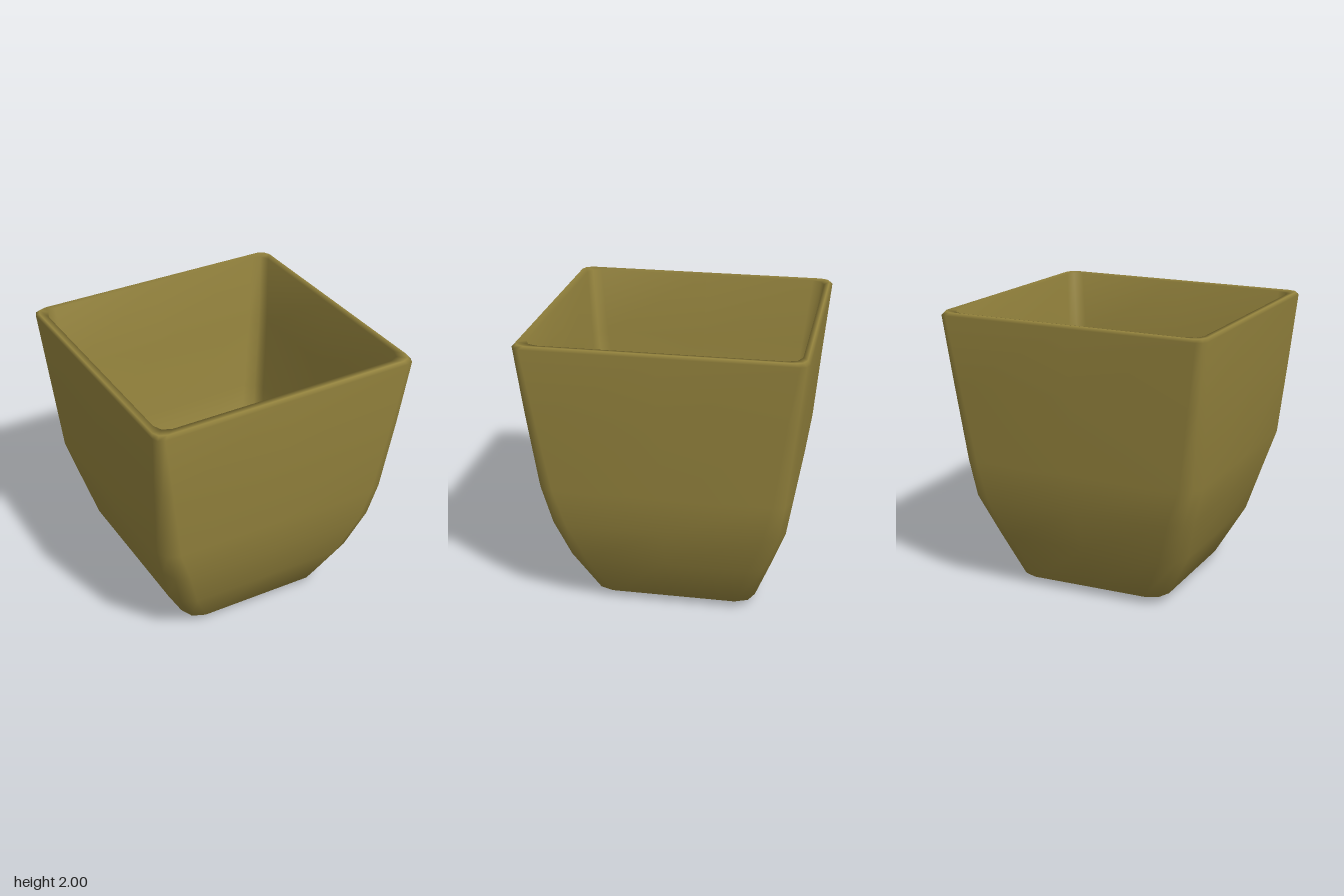
import * as THREE from 'three';
import { toCreasedNormals } from 'three/addons/utils/BufferGeometryUtils.js';

// Underside arches gently from front to back
const archY = (z) => 0.045 * (1 - Math.min(1, (z / 0.42) ** 2));

// Rounded rectangle outline as [x, z] points: soft corners plus side midpoints
function outline(x0, x1, z0, z1, c) {
  const corners = [[x1 - c, z1 - c], [x0 + c, z1 - c], [x0 + c, z0 + c], [x1 - c, z0 + c]];
  const mids = [[(x0 + x1) / 2, z1], [x0, (z0 + z1) / 2], [(x0 + x1) / 2, z0], [x1, (z0 + z1) / 2]];
  const pts = [];
  corners.forEach(([x, z], q) => {
    for (let k = 0; k <= 2; k++) {
      const a = (q + k / 2) * Math.PI / 2;
      pts.push([x + c * Math.cos(a), z + c * Math.sin(a)]);
    }
    pts.push(mids[q]);
  });
  return pts;
}

const FLOOR = [-0.47, 0.5, -0.52, 0.46, 0.08];
const FLOOR_Y = 0.15;
const FOOT_SCALE = 0.88;

// Wall surface lofted through rings: up the outside, over the rim, down the inside
function wallGeometry() {
  const sections = [
    [0.055, -0.53, 0.585, -0.595, 0.54, 0.13],
    [0.38, -0.71, 0.725, -0.715, 0.715, 0.15],
    [0.68, -0.795, 0.835, -0.82, 0.805, 0.14],
    [0.95, -0.875, 0.865, -0.86, 0.865, 0.12],
    [1.5, -0.92, 0.915, -0.91, 0.92, 0.09],
    [1.965, -0.955, 0.95, -0.955, 0.96, 0.06],
    [1.987, -0.94, 0.935, -0.935, 0.94, 0.07],
    [1.98, -0.895, 0.89, -0.9, 0.885, 0.09],
    [1.5, -0.86, 0.855, -0.85, 0.85, 0.1],
    [0.95, -0.81, 0.8, -0.8, 0.8, 0.11],
    [0.68, -0.735, 0.765, -0.755, 0.74, 0.12],
    [0.38, -0.63, 0.65, -0.645, 0.63, 0.12],
    [FLOOR_Y, ...FLOOR],
  ];
  const rings = sections.map(([y, ...r]) =>
    outline(...r).map(([x, z]) => [x, y + 0.012 * x * (y / 2) ** 3, z]));
  rings.unshift(outline(...FLOOR.map((v) => v * FOOT_SCALE)).map(([x, z]) => [x, archY(z), z]));

  const n = rings[0].length;
  const index = [];
  for (let i = 0; i < rings.length - 1; i++) {
    for (let j = 0; j < n; j++) {
      const a = i * n + j, b = i * n + (j + 1) % n;
      index.push(a, a + n, b, b, a + n, b + n);
    }
  }
  const geo = new THREE.BufferGeometry();
  geo.setAttribute('position', new THREE.Float32BufferAttribute(rings.flat(2), 3));
  geo.setIndex(index);
  geo.computeVertexNormals();
  return geo;
}

// Drain holes: centre, radii, and how far each flares at the top
const HOLES = [
  { x: -0.31, z: -0.01, rx: 0.035, rz: 0.065, fx: 1.6, fz: 2.4 },
  { x: 0.385, z: -0.015, rx: 0.055, rz: 0.06, fx: 1.2, fz: 2 },
  { x: 0.03, z: 0.335, rx: 0.055, rz: 0.045, fx: 2.5, fz: 1.6 },
];

// Dished floor slab pierced by the holes
function floorGeometry() {
  const shape = new THREE.Shape(outline(...FLOOR).map(([x, z]) => new THREE.Vector2(x, z)));
  for (const h of HOLES) {
    const pts = [];
    for (let k = 0; k < 5; k++) {
      const a = 0.3 + k * Math.PI * 2 / 5;
      pts.push(new THREE.Vector2(h.x + h.rx * Math.cos(a), h.z + h.rz * Math.sin(a)));
    }
    shape.holes.push(new THREE.Path(pts));
  }
  const geo = new THREE.ExtrudeGeometry(shape, { depth: 1, bevelEnabled: false });
  geo.rotateX(Math.PI / 2);
  const p = geo.attributes.position;
  for (let i = 0; i < p.count; i++) {
    let x = p.getX(i), z = p.getZ(i), y;
    const top = p.getY(i) > -0.5;
    const hole = HOLES.find((h) => Math.hypot(x - h.x, z - h.z) < 0.08);
    if (hole && top) {
      x = hole.x + (x - hole.x) * hole.fx;
      z = hole.z + (z - hole.z) * hole.fz;
      y = 0.1;
    } else if (hole) {
      y = 0.05;
    } else if (top) {
      y = FLOOR_Y;
    } else {
      x *= FOOT_SCALE;
      z *= FOOT_SCALE;
      y = archY(z);
    }
    p.setXYZ(i, x, y, z);
  }
  return toCreasedNormals(geo, 0.6);
}

export function createModel() {
  const olive = new THREE.MeshStandardMaterial({ color: 0x94833d });
  olive.name = 'olive clay';

  const pot = new THREE.Group();
  pot.name = 'planterPot';

  const wall = new THREE.Mesh(wallGeometry(), olive);
  wall.name = 'wall';
  const floor = new THREE.Mesh(floorGeometry(), olive);
  floor.name = 'floor';
  pot.add(wall, floor);
  return pot;
}
